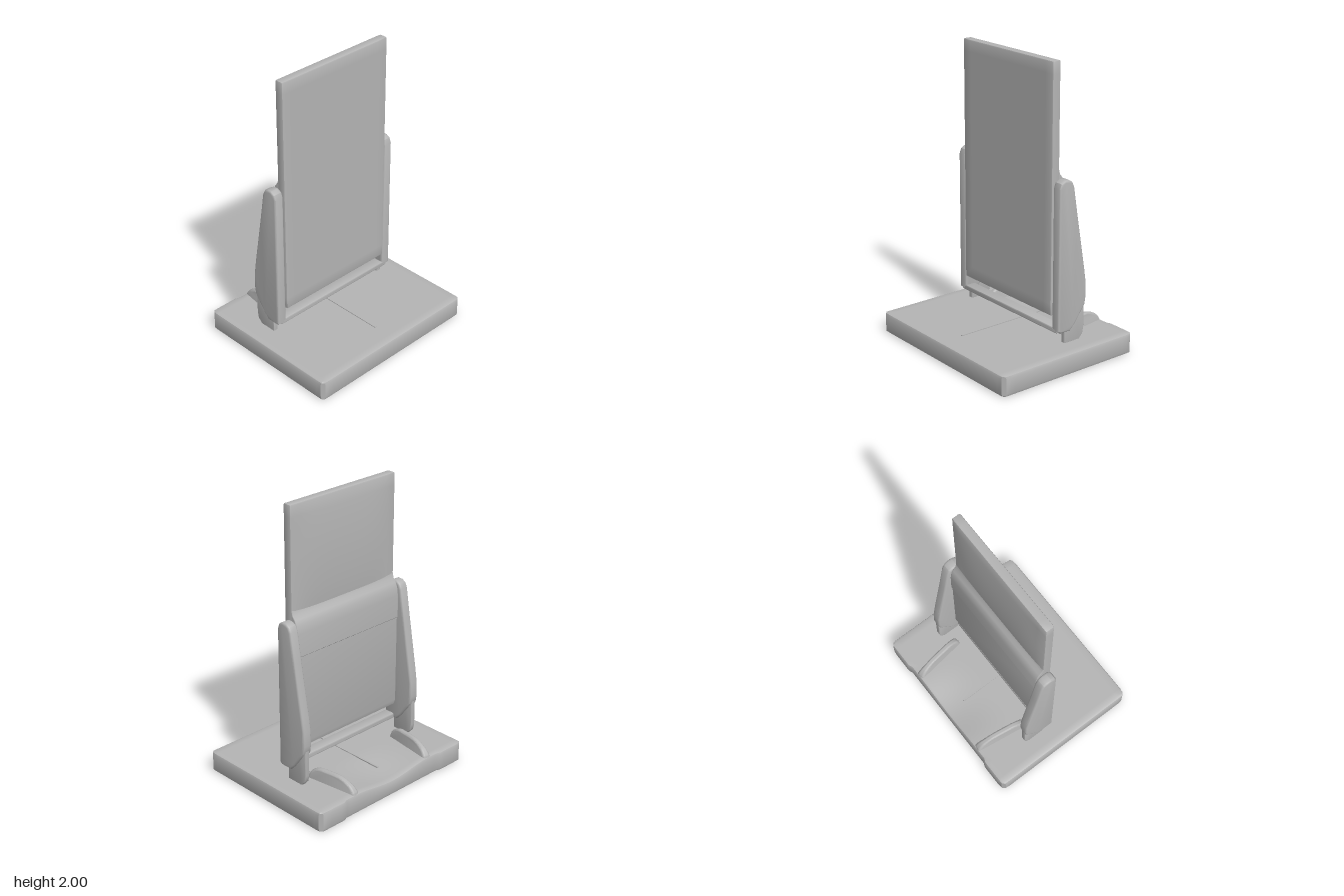
import * as THREE from 'three';
import { toCreasedNormals } from 'three/addons/utils/BufferGeometryUtils.js';

const grey = new THREE.MeshStandardMaterial({ color: 0xb4b4b4 });
grey.name = 'grey';

function part(name, geometry, x = 0, y = 0, z = 0) {
  const mesh = new THREE.Mesh(geometry, grey);
  mesh.name = name;
  mesh.position.set(x, y, z);
  return mesh;
}

// Move every vertex by a rule, then refresh the normals
function shapeBy(geometry, rule) {
  const p = geometry.attributes.position;
  const v = new THREE.Vector3();
  for (let i = 0; i < p.count; i++) {
    rule(v.fromBufferAttribute(p, i));
    p.setXYZ(i, v.x, v.y, v.z);
  }
  return toCreasedNormals(geometry, 0.6);
}

// Gridded box with eased edges and an optional extra sculpting rule
function easedBox(size, segments, r, sculpt = () => {}) {
  const half = size.map((s) => s / 2);
  const core = new THREE.Vector3();
  return shapeBy(new THREE.BoxGeometry(...size, ...segments), (v) => {
    const c = v.toArray().map((a, i) => {
      const step = size[i] / segments[i];
      const d = half[i] - Math.abs(a);
      return d > step * 0.5 && d < step * 1.5 ? Math.sign(a) * (half[i] - r) : a;
    });
    v.fromArray(c);
    core.fromArray(c.map((a, i) => THREE.MathUtils.clamp(a, r - half[i], half[i] - r)));
    v.sub(core).setLength(r).add(core);
    sculpt(v);
  });
}

// Side profile given as [z, y] points, extruded along x with a bevel
function sideProfile(points, width, bevel, smooth = false) {
  const pts = points.map(([z, y]) => new THREE.Vector2(-z, y));
  const shape = new THREE.Shape();
  if (smooth) {
    shape.moveTo(pts[0].x, pts[0].y);
    shape.splineThru(pts.slice(1));
  } else shape.setFromPoints(pts);
  const depth = width - 2 * bevel;
  const g = new THREE.ExtrudeGeometry(shape, {
    depth, bevelThickness: bevel, bevelSize: bevel, bevelOffset: -bevel,
    bevelSegments: 3, curveSegments: 20,
  });
  return g.translate(0, 0, -depth / 2).rotateY(Math.PI / 2);
}

export function createModel() {
  const model = new THREE.Group();
  model.name = 'panelOnStand';

  // Base slab with a shallow scoop at the rear middle
  const base = easedBox([1.32, 0.145, 1.09], [44, 3, 36], 0.022, (v) => {
    const side = Math.cos(Math.min(Math.abs(v.x) / 0.34, 1) * Math.PI / 2) ** 2;
    const back = THREE.MathUtils.smoothstep(-v.z, 0.15, 0.53);
    if (v.y > 0.04) v.y -= 0.035 * side * back;
    if (v.z < -0.5 && Math.abs(v.x) < 0.42) v.z += 0.012;
    // clipped plan corners
    const over = Math.abs(v.x) + Math.abs(v.z) - 1.175;
    if (over > 0) {
      v.x -= Math.sign(v.x) * over / 2;
      v.z -= Math.sign(v.z) * over / 2;
    }
  });
  model.add(part('base', base, 0, 0.0725, 0));
  model.add(part('baseCentreRidge', new THREE.BoxGeometry(0.014, 0.008, 0.76), 0, 0.146, -0.01));

  // Tall panel with a gently pillowed upper back
  const panel = easedBox([0.904, 1.665, 0.062], [24, 40, 3], 0.01, (v) => {
    const t = THREE.MathUtils.clamp((v.y + 1.1675 - 1.27) / 0.71, 0, 1);
    const u = Math.min(Math.abs(v.x) / 0.43, 1);
    if (v.z < -0.015) v.z -= 0.02 * Math.sin(t * Math.PI) ** 0.7 * (1 - u ** 4);
  });
  model.add(part('panel', panel, 0, 1.1675, -0.036));

  // Thicker lower back, with a step at the seam
  const lowerBack = sideProfile([
    [-0.03, 0.345], [-0.03, 1.31], [-0.066, 1.31], [-0.075, 1.275], [-0.095, 1.25],
    [-0.11, 1.215], [-0.118, 1.16], [-0.12, 1.005], [-0.112, 0.998], [-0.112, 0.38], [-0.1, 0.345],
  ], 0.9, 0.006);
  model.add(part('panelLowerBack', toCreasedNormals(lowerBack, 0.6)));

  // Bar joining the two arms
  model.add(part('crossbar', easedBox([1.0, 0.038, 0.08], [4, 3, 3], 0.01), 0, 0.243, -0.052));

  for (const side of [1, -1]) {
    const name = side > 0 ? 'left' : 'right';

    // Tapering upright arm
    const arm = sideProfile([
      [-0.012, 0.24], [-0.012, 1.2], [-0.025, 1.235], [-0.055, 1.252], [-0.09, 1.25],
      [-0.115, 1.235], [-0.132, 1.2], [-0.165, 1.0], [-0.198, 0.81], [-0.228, 0.64],
      [-0.243, 0.54], [-0.246, 0.44], [-0.238, 0.385], [-0.21, 0.345], [-0.15, 0.265],
      [-0.115, 0.228], [-0.03, 0.228],
    ], 0.07, 0.014);
    model.add(part(name + 'Arm', toCreasedNormals(arm, 0.6), side * 0.49));

    // Foot between arm and base
    const foot = sideProfile([
      [-0.078, 0.14], [-0.078, 0.3], [-0.17, 0.44], [-0.24, 0.44], [-0.241, 0.22],
      [-0.232, 0.175], [-0.2, 0.14],
    ], 0.036, 0.006);
    model.add(part(name + 'Foot', toCreasedNormals(foot, 0.6), side * 0.491));

    // Rounded fin on the rear of the base, flared toward its root
    const fin = sideProfile([
      [-0.19, -0.02], [-0.18, 0.015], [-0.14, 0.055], [-0.06, 0.085], [0.04, 0.088],
      [0.12, 0.08], [0.175, 0.045], [0.195, -0.02],
    ].map(([z, y]) => [z, y]), 0.04, 0.014, true);
    const finShape = shapeBy(fin, (v) => {
      v.x *= 1 + 8 * Math.max(0, 0.06 - v.y);
    });
    const finMesh = part(name + 'Fin', finShape, side * 0.358, 0.142, -0.34);
    finMesh.rotation.y = side * 0.14;
    model.add(finMesh);
  }
  return model;
}
